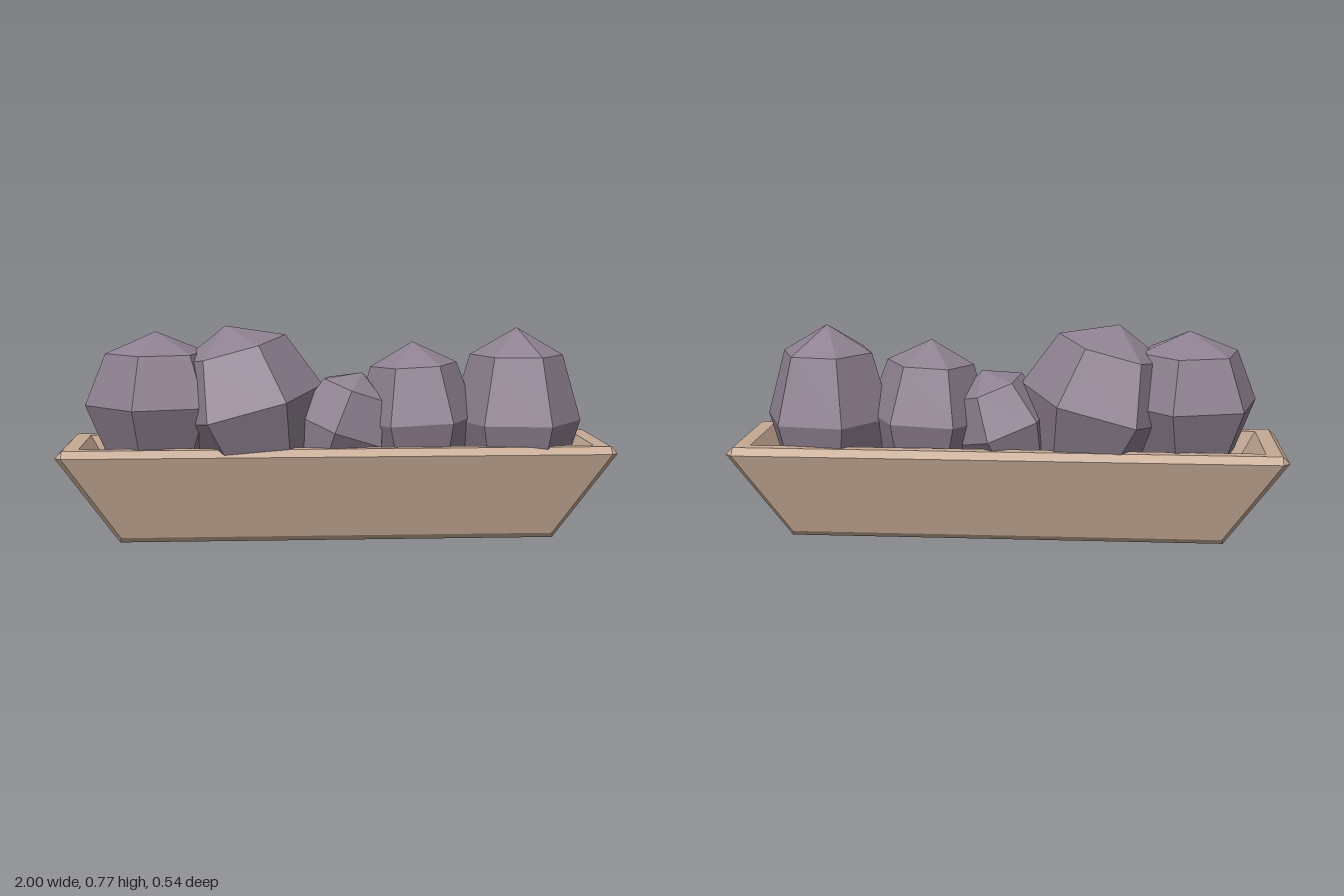
import * as THREE from 'three';

const clay = new THREE.MeshStandardMaterial({ color: 0xc4a994, flatShading: true });
const foliage = new THREE.MeshStandardMaterial({ color: 0x8e8090, flatShading: true });

// Rectangle with cut corners at height y (cut 0 gives sharp corners)
function section([y, hx, hz, cut]) {
  const pts = [];
  [[1, 1], [-1, 1], [-1, -1], [1, -1]].forEach(([sx, sz], k) => {
    const pair = [
      new THREE.Vector3(sx * hx, y, sz * (hz - cut)),
      new THREE.Vector3(sx * (hx - cut), y, sz * hz),
    ];
    pts.push(...(k % 2 ? pair.reverse() : pair));
  });
  return pts;
}

// Join consecutive sections with quads and close both ends
function loft(sections) {
  const rings = sections.map(section);
  const pos = [];
  const tri = (a, b, c) => {
    if (new THREE.Triangle(a, b, c).getArea() < 1e-7) return;
    for (const p of [a, b, c]) pos.push(p.x, p.y, p.z);
  };
  for (let r = 0; r < rings.length - 1; r++) {
    const a = rings[r], b = rings[r + 1];
    for (let i = 0; i < 8; i++) {
      const j = (i + 1) % 8;
      tri(a[i], b[i], b[j]);
      tri(a[i], b[j], a[j]);
    }
  }
  const bottom = rings[0], floor = rings[rings.length - 1];
  for (let i = 1; i < 7; i++) {
    tri(bottom[0], bottom[i], bottom[i + 1]);
    tri(floor[0], floor[i + 1], floor[i]);
  }
  const geo = new THREE.BufferGeometry();
  geo.setAttribute('position', new THREE.Float32BufferAttribute(pos, 3));
  geo.computeVertexNormals();
  return geo;
}

// Six-sided faceted bush: yaw about its axis, then stretch, then lean sideways
function bush({ at, size, yaw, lean }) {
  const geo = new THREE.SphereGeometry(1, 6, 4);
  geo.rotateY(-THREE.MathUtils.degToRad(yaw));
  geo.scale(...size);
  geo.rotateZ(THREE.MathUtils.degToRad(lean));
  const mesh = new THREE.Mesh(geo, foliage);
  mesh.position.set(...at);
  return mesh;
}

export function createModel() {
  const model = new THREE.Group();
  model.name = 'planterWithBushes';

  // Flared trough: outside from base to rim, then down the inside to the floor
  const planter = new THREE.Mesh(loft([
    [0, 0.785, 0.14, 0],
    [0.02, 0.8, 0.16, 0.02],
    [0.32, 1, 0.24, 0.025],
    [0.345, 0.975, 0.215, 0],
    [0.345, 0.92, 0.175, 0],
    [0.05, 0.75, 0.11, 0],
  ]), clay);
  planter.name = 'planter';
  planter.position.z = -0.01;
  model.add(planter);

  // Row of bushes
  [
    { at: [-0.655, 0.49, 0], size: [0.26, 0.26, 0.27], yaw: 45, lean: 0 },
    { at: [-0.325, 0.48, 0], size: [0.285, 0.3, 0.31], yaw: 0, lean: 15 },
    { at: [0.02, 0.39, 0], size: [0.19, 0.22, 0.235], yaw: 42, lean: -20 },
    { at: [0.295, 0.425, 0], size: [0.225, 0.285, 0.23], yaw: 0, lean: 3 },
    { at: [0.665, 0.42, 0], size: [0.24, 0.34, 0.255], yaw: 8, lean: 0 },
  ].forEach((spec, i) => {
    const mesh = bush(spec);
    mesh.name = `bush${i + 1}`;
    model.add(mesh);
  });

  return model;
}
